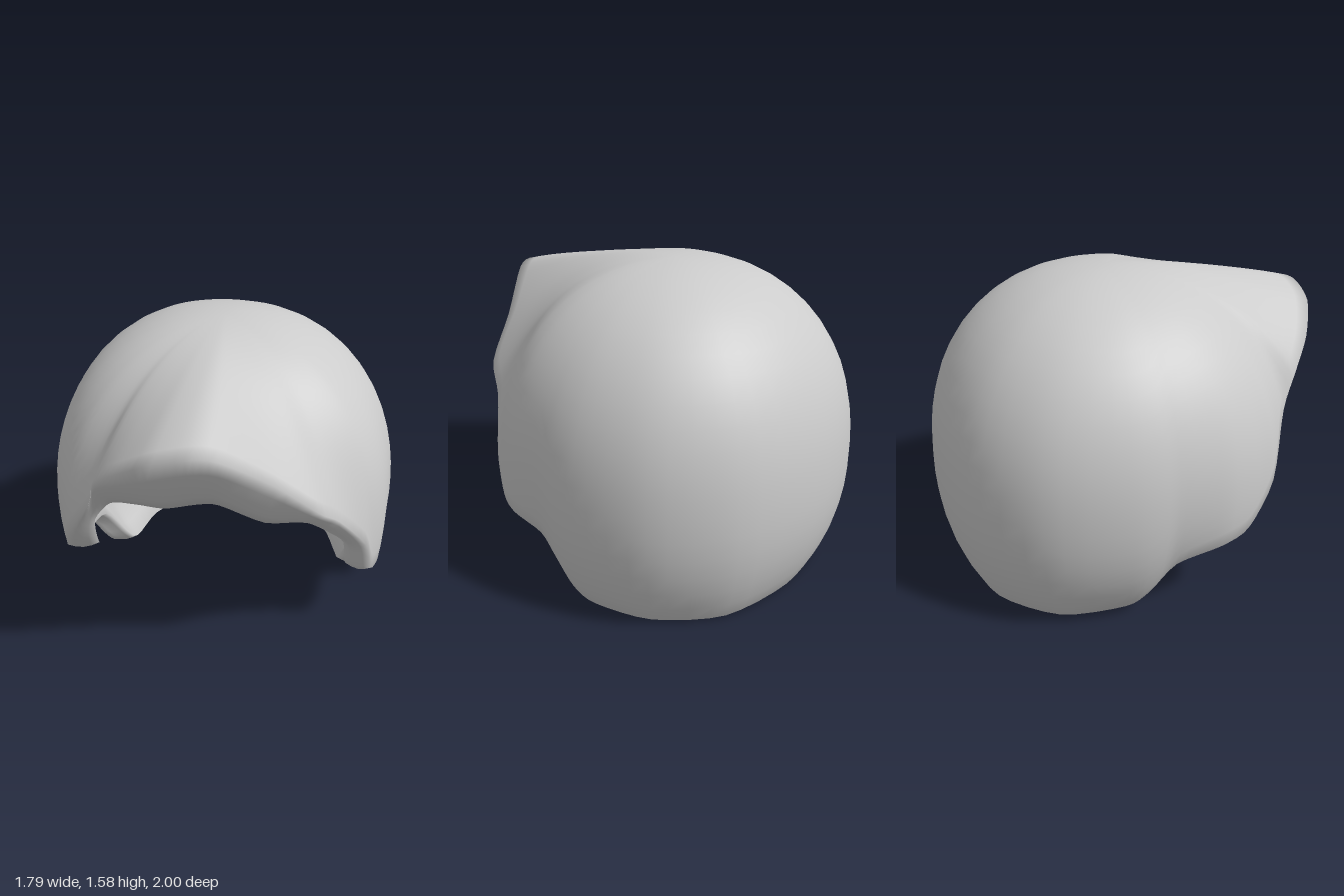
import * as THREE from 'three';
import { mergeVertices } from 'three/addons/utils/BufferGeometryUtils.js';

const CENTER = new THREE.Vector3(0, 0.65, -0.1);
const RADII = [0.892, 0.935, 0.89];
const COLUMNS = 108, ROWS = 20, ROLL = 4;

// Outer edge of the rim, from the front peak round by the left side
const OUTER = [
  [0, 1.38, 0.99], [0.13, 1.36, 0.95], [0.35, 1.17, 0.8], [0.55, 0.98, 0.7], [0.64, 0.85, 0.56],
  [0.78, 0.62, 0.41], [0.82, 0.42, 0.33], [0.86, 0.39, 0.2], [0.86, 0.36, 0], [0.84, 0.25, -0.07],
  [0.79, 0.07, -0.14], [0.76, 0.01, -0.26], [0.66, 0.01, -0.55], [0.4, 0.015, -0.8], [0, 0.02, -0.88],
  [-0.35, 0.02, -0.81], [-0.6, 0.02, -0.56], [-0.67, 0.03, -0.24], [-0.71, 0.12, -0.13], [-0.8, 0.33, -0.03],
  [-0.82, 0.39, 0.2], [-0.77, 0.42, 0.37], [-0.7, 0.62, 0.53], [-0.53, 0.9, 0.66], [-0.47, 1.08, 0.75],
  [-0.35, 1.2, 0.87], [-0.18, 1.32, 0.97],
];
// Inner edge of the rim, matching point by point
const INNER = [
  [0, 1.01, 0.75], [0.1, 1.01, 0.74], [0.3, 0.88, 0.66], [0.48, 0.83, 0.56], [0.6, 0.71, 0.46],
  [0.67, 0.58, 0.35], [0.69, 0.4, 0.28], [0.74, 0.38, 0.16], [0.74, 0.36, 0], [0.71, 0.25, -0.1],
  [0.66, 0.08, -0.18], [0.64, 0.04, -0.28], [0.56, 0.03, -0.53], [0.36, 0.03, -0.74], [0, 0.03, -0.81],
  [-0.32, 0.03, -0.75], [-0.5, 0.04, -0.53], [-0.56, 0.05, -0.26], [-0.59, 0.14, -0.16], [-0.68, 0.34, -0.05],
  [-0.7, 0.39, 0.16], [-0.62, 0.4, 0.3], [-0.59, 0.55, 0.42], [-0.56, 0.7, 0.5], [-0.45, 0.86, 0.58],
  [-0.3, 0.92, 0.66], [-0.15, 0.96, 0.73],
];

const loop = (points) =>
  new THREE.CatmullRomCurve3(points.map((p) => new THREE.Vector3(...p)), true, 'catmullrom', 0.4);

// Radius of the rounded dome in a given direction
function domeRadius(d, scale) {
  const n = 2.2;
  const sum = [d.x, d.y, d.z].reduce((s, v, i) => s + Math.abs(v / RADII[i]) ** n, 0);
  return scale * sum ** (-1 / n);
}

// Points from the crown down to a rim point, swelling from dome to rim,
// with an optional shallow valley beside the front tuft
function meridian(rim, scale, valley) {
  const toRim = rim.clone().sub(CENTER);
  const length = toRim.length();
  const dir = toRim.clone().divideScalar(length);
  const swell = length / domeRadius(dir, scale) - 1;
  const polar = Math.acos(dir.y), azimuth = Math.atan2(dir.x, dir.z);
  const power = 3.6 - 0.6 * Math.cos(azimuth);
  const hollow = valley * Math.exp(-(((azimuth - 0.75) / 0.36) ** 2));
  return Array.from({ length: ROWS + 1 }, (_, i) => {
    const t = i / ROWS;
    const d = new THREE.Vector3().setFromSphericalCoords(1, polar * t, azimuth);
    const k = 1 + swell * t ** power - hollow * Math.sin(Math.PI * t * t);
    return d.multiplyScalar(domeRadius(d, scale) * k).add(CENTER);
  });
}

// One closed section: outside, rolled rim, inside
function section(outer, inner) {
  const rim = [];
  const away = outer.clone().sub(inner).normalize();
  for (let i = 1; i < ROLL; i++) {
    const t = i / ROLL;
    const p = outer.clone().lerp(inner, t);
    const out = p.clone().sub(CENTER);
    out.addScaledVector(away, -out.dot(away)).normalize();
    p.addScaledVector(out, 0.02 * Math.sin(Math.PI * t));
    p.y = Math.max(p.y, 0);
    rim.push(p);
  }
  return [...meridian(outer, 1, 0.045), ...rim, ...meridian(inner, 0.86, 0).reverse()];
}

function shellGeometry() {
  const outer = loop(OUTER), inner = loop(INNER);
  const positions = [], index = [];
  const count = 2 * (ROWS + 1) + ROLL - 1;
  for (let j = 0; j < COLUMNS; j++) {
    const points = section(outer.getPoint(j / COLUMNS), inner.getPoint(j / COLUMNS));
    points.forEach((p) => positions.push(p.x, p.y, p.z));
    const a = j * count, c = ((j + 1) % COLUMNS) * count;
    for (let i = 0; i < count - 1; i++) {
      index.push(a + i, a + i + 1, c + i, c + i, a + i + 1, c + i + 1);
    }
  }
  const geometry = new THREE.BufferGeometry();
  geometry.setAttribute('position', new THREE.Float32BufferAttribute(positions, 3));
  geometry.setIndex(index);
  const welded = mergeVertices(geometry, 1e-4);
  welded.computeVertexNormals();
  return welded;
}

export function createModel() {
  const group = new THREE.Group();
  group.name = 'hairpiece';
  const material = new THREE.MeshStandardMaterial({ color: 0xcccccc, side: THREE.DoubleSide });
  const shell = new THREE.Mesh(shellGeometry(), material);
  shell.name = 'hairShell';
  group.add(shell);
  return group;
}
